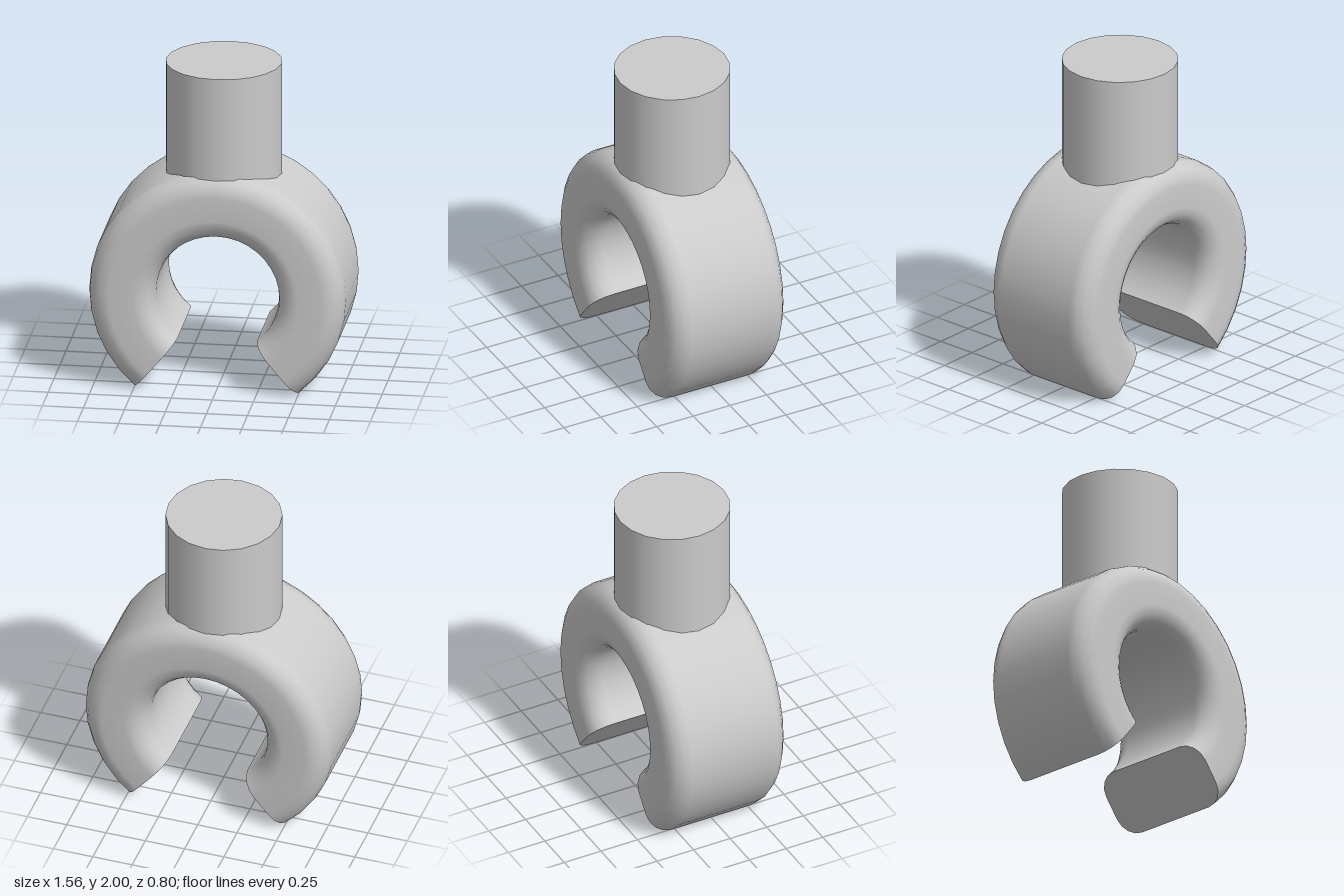
import * as THREE from 'three';

const INNER = 0.375, OUTER = 0.782, HALF_DEPTH = 0.4, FILLET = 0.13;
const CENTRE_Y = 0.6;
const START = THREE.MathUtils.degToRad(40), SWEEP = THREE.MathUtils.degToRad(280);

// Rounded rectangle in (radius, depth), counterclockwise from the middle of the inner face
function hookSection() {
  const mid = (INNER + OUTER) / 2, halfWidth = (OUTER - INNER) / 2;
  const points = [new THREE.Vector2(INNER, 0)];
  const corners = [[-1, -1], [1, -1], [1, 1], [-1, 1]];
  corners.forEach(([sx, sy], i) => {
    for (let j = 0; j <= 4; j++) {
      const a = Math.PI + (i + j / 4) * Math.PI / 2;
      points.push(new THREE.Vector2(
        mid + sx * (halfWidth - FILLET) + FILLET * Math.cos(a),
        sy * (HALF_DEPTH - FILLET) + FILLET * Math.sin(a)));
    }
  });
  points.push(points[0].clone());
  return points;
}

export function createModel() {
  const model = new THREE.Group();
  const material = new THREE.MeshStandardMaterial({ color: 0xcccccc });
  const add = (parent, name, geometry) => {
    const mesh = new THREE.Mesh(geometry, material);
    mesh.name = name;
    parent.add(mesh);
    return mesh;
  };

  // Open C-shaped hook: swept about its own axis, then laid so that axis runs along z
  const hook = new THREE.Group();
  hook.name = 'hook';
  hook.rotation.x = Math.PI / 2;
  hook.position.y = CENTRE_Y;
  model.add(hook);
  const section = hookSection();
  add(hook, 'hookArc', new THREE.LatheGeometry(section, 28, START, SWEEP));

  // Flat ends of the hook
  const shape = new THREE.Shape(section.slice(0, -1));
  add(hook, 'leftEnd', new THREE.ShapeGeometry(shape).rotateY(START - Math.PI / 2));
  add(hook, 'rightEnd',
    new THREE.ShapeGeometry(shape).rotateX(Math.PI).rotateY(START + SWEEP - Math.PI / 2));

  // Round stem, sunk into the crown of the hook
  const bottom = 1.15, top = 2;
  const stem = add(model, 'stem', new THREE.CylinderGeometry(0.353, 0.353, top - bottom, 20));
  stem.position.y = (top + bottom) / 2;

  return model;
}
